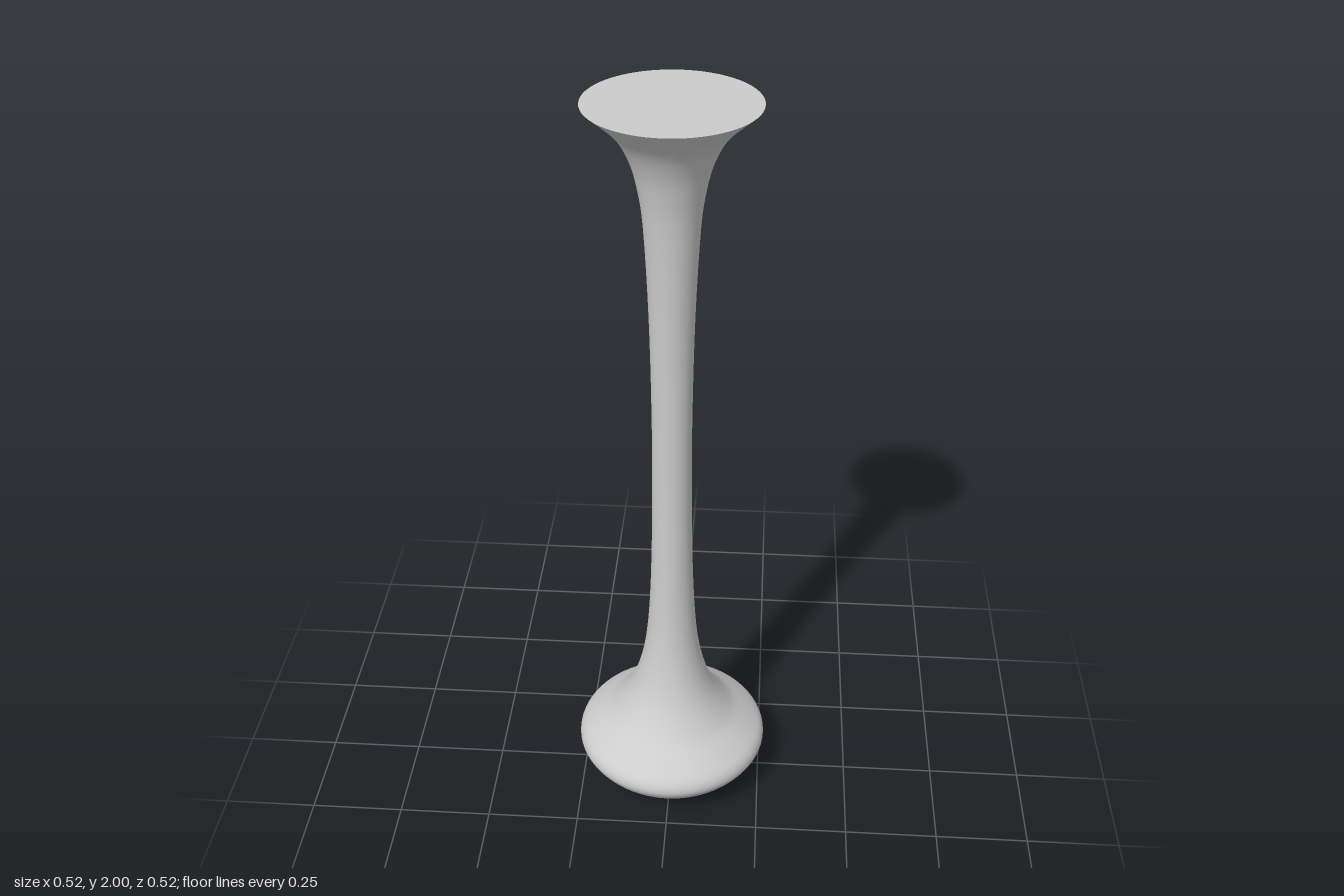
import * as THREE from 'three';

const SEGMENTS = 64;
const BOTTOM_RADIUS = 0.12;
const TOP_RADIUS = 0.205;

// Outline from the foot up to the flared rim: [radius, height]
const PROFILE = [
  [BOTTOM_RADIUS, 0], [0.175, 0.034], [0.225, 0.072], [0.253, 0.105], [0.262, 0.13],
  [0.251, 0.158], [0.213, 0.19], [0.165, 0.23], [0.115, 0.305], [0.084, 0.4], [0.066, 0.52],
  [0.056, 0.7], [0.051, 0.95], [0.051, 1.2], [0.056, 1.47], [0.067, 1.7],
  [0.08, 1.8], [0.099, 1.87], [0.135, 1.935], [TOP_RADIUS, 2],
];

export function createModel() {
  const group = new THREE.Group();
  group.name = 'flaredPedestal';
  const material = new THREE.MeshStandardMaterial({ color: 0xcccccc });

  const add = (name, geometry) => {
    const mesh = new THREE.Mesh(geometry, material);
    mesh.name = name;
    group.add(mesh);
    return mesh;
  };

  // Smooth turned body: bulbous foot, slender stem and flared rim
  const curve = new THREE.SplineCurve(PROFILE.map(([r, y]) => new THREE.Vector2(r, y)));
  add('body', new THREE.LatheGeometry(curve.getPoints(76), SEGMENTS));

  // Flat discs closing both ends with a sharp edge
  const top = add('topDisc', new THREE.CircleGeometry(TOP_RADIUS, SEGMENTS));
  top.rotation.x = -Math.PI / 2;
  top.position.y = 2;

  const base = add('baseDisc', new THREE.CircleGeometry(BOTTOM_RADIUS, SEGMENTS));
  base.rotation.x = Math.PI / 2;

  return group;
}
